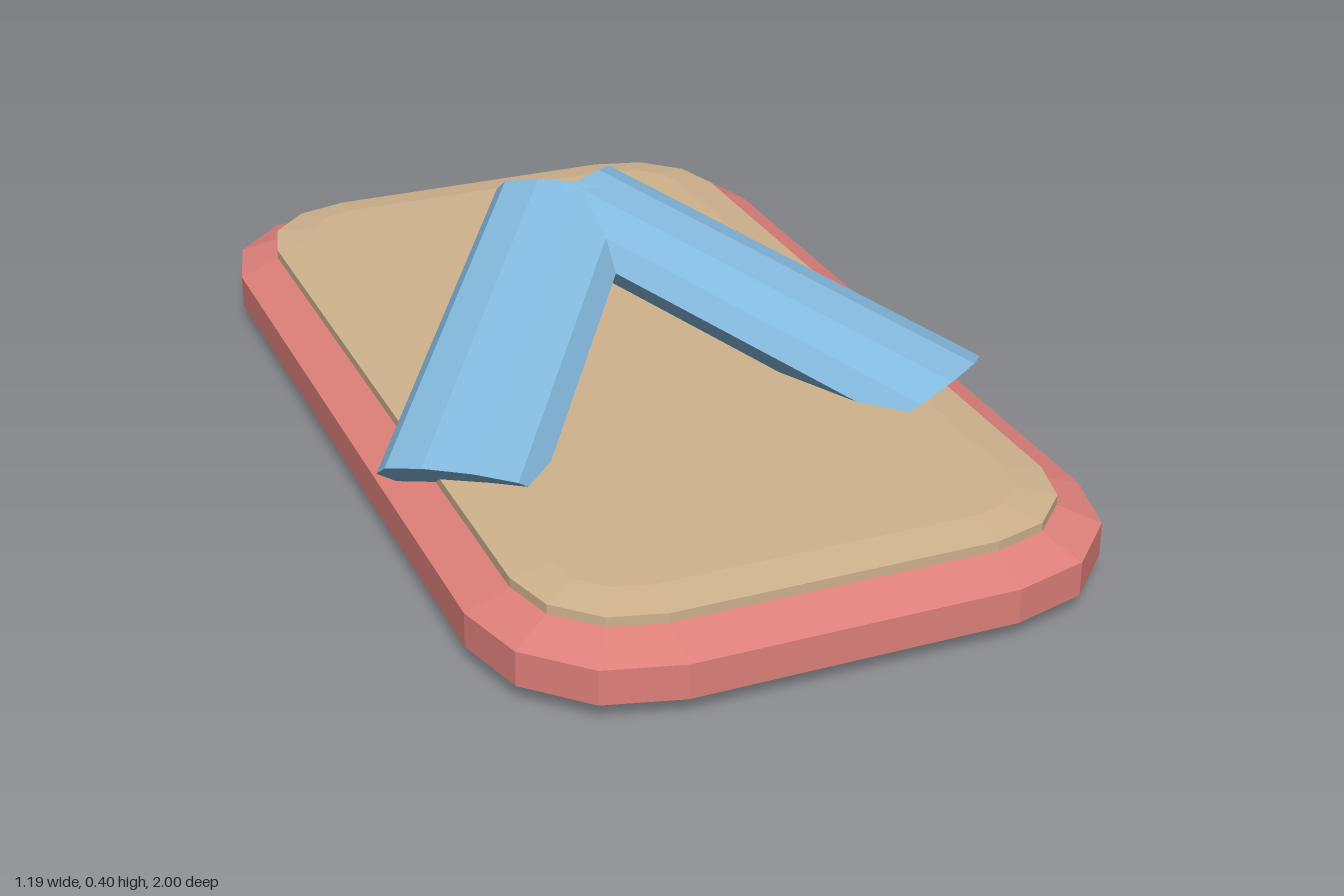
import * as THREE from 'three';

const paint = (name, color) => {
  const m = new THREE.MeshStandardMaterial({ color });
  m.name = name;
  m.flatShading = true;
  return m;
};

// Closed solid through a stack of rings, each turning clockwise seen from the last ring's end
function loft(rings) {
  const pos = [];
  const tri = (...pts) => pts.forEach((p) => pos.push(p.x, p.y, p.z));
  const n = rings[0].length;
  for (let i = 0; i < rings.length - 1; i++) {
    for (let j = 0; j < n; j++) {
      const k = (j + 1) % n;
      tri(rings[i][j], rings[i + 1][j], rings[i][k]);
      tri(rings[i][k], rings[i + 1][j], rings[i + 1][k]);
    }
  }
  const first = rings[0], last = rings[rings.length - 1];
  for (let j = 1; j < n - 1; j++) {
    tri(first[0], first[j], first[j + 1]);
    tri(last[0], last[j + 1], last[j]);
  }
  const g = new THREE.BufferGeometry();
  g.setAttribute('position', new THREE.Float32BufferAttribute(pos, 3));
  g.computeVertexNormals();
  return g;
}

// Rounded rectangle at height y; r is the corner radius around fixed corner centres
function slabRing(y, r) {
  const ring = [];
  for (let c = 0; c < 4; c++) {
    const cx = c === 0 || c === 3 ? 0.3 : -0.3;
    const cz = c < 2 ? 0.72 : -0.72;
    for (let s = 0; s < 4; s++) {
      const a = (c + s / 3) * Math.PI / 2;
      ring.push(new THREE.Vector3(cx + r * Math.cos(a), y, cz + r * Math.sin(a)));
    }
  }
  return ring;
}

// Flattened ten-sided end of a strap, mirrored by side
function strapRing(x, y, z, side) {
  const ring = [];
  for (let i = 0; i < 10; i++) {
    const a = side * i * Math.PI / 5;
    const u = Math.cos(a), v = Math.sin(a) * 1.03;
    ring.push(new THREE.Vector3(
      side * (x + 0.123 * u + 0.037 * v),
      y + 0.057 * v,
      z - 0.085 * u + 0.053 * v));
  }
  return ring;
}

export function createModel() {
  const model = new THREE.Group();
  model.name = 'sandal';
  const add = (name, geometry, material) => {
    const mesh = new THREE.Mesh(geometry, material);
    mesh.name = name;
    model.add(mesh);
  };
  const coral = paint('coral', 0xde807a);
  const sand = paint('sand', 0xd0b38e);
  const blue = paint('sky blue', 0x84badf);

  // Bevelled sole and the thinner footbed on top
  add('sole', loft([[0, 0.19], [0.035, 0.28], [0.1, 0.28], [0.133, 0.195]].map(([y, r]) => slabRing(y, r))), coral);
  add('footbed', loft([[0.125, 0.2], [0.149, 0.2], [0.16, 0.125]].map(([y, r]) => slabRing(y, r))), sand);

  // Two straps that meet above the centre line
  for (const side of [1, -1]) {
    add(side > 0 ? 'leftStrap' : 'rightStrap',
      loft([strapRing(0.47, 0.141, 0.37, side), strapRing(-0.01, 0.345, -0.33, side)]), blue);
  }
  return model;
}
